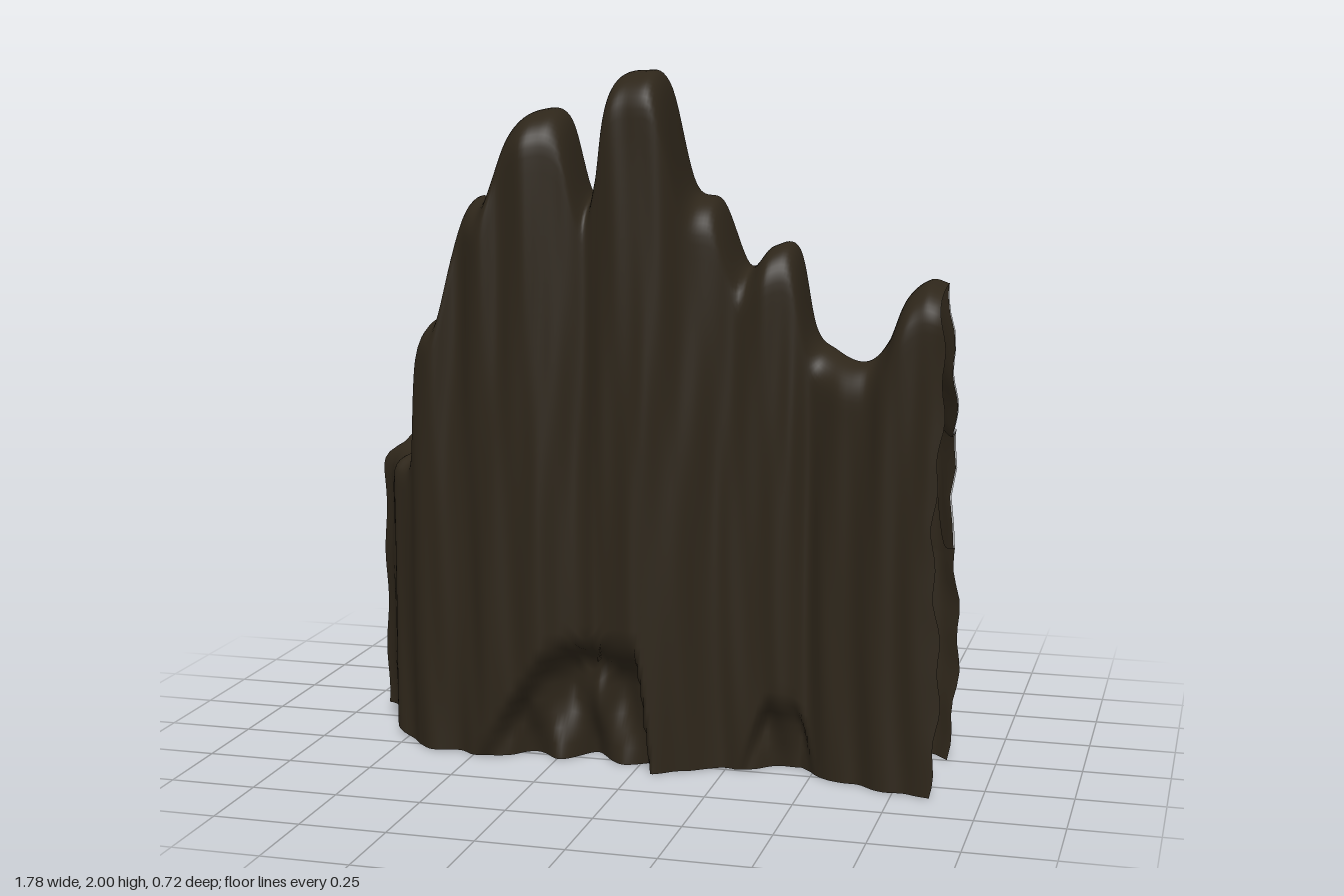
import * as THREE from 'three';

const { smoothstep, lerp } = THREE.MathUtils;

// Left wing columns: front x, front z, front top, ridge x, ridge z, ridge top, back x, back z
const wing = [
  [-0.885, -0.01, 0.9, -0.69, -0.21, 0.93, -0.56, -0.35],
  [-0.82, 0.07, 0.91, -0.65, -0.14, 0.83, -0.565, -0.26],
  [-0.79, 0.16, 0.92, -0.635, -0.08, 0.82, -0.565, -0.19],
  [-0.725, 0.21, 0.94, -0.63, -0.03, 0.92, -0.56, -0.14],
  [-0.685, 0.255, 1.27, -0.61, 0.01, 1.25, -0.55, -0.12],
  [-0.615, 0.29, 1.34, -0.57, 0.06, 1.34, -0.53, -0.12],
];
// Main wall columns: x, front z, top, ridge z, back z
const wall = [
  [-0.54, 0.28, 1.61, 0.1, -0.11], [-0.46, 0.33, 1.65, 0.15, -0.09],
  [-0.39, 0.33, 1.83, 0.17, -0.1], [-0.3, 0.355, 1.89, 0.18, -0.145],
  [-0.22, 0.33, 1.86, 0.18, -0.12], [-0.16, 0.31, 1.65, 0.17, -0.09],
  [-0.12, 0.325, 1.75, 0.17, -0.1], [-0.08, 0.34, 1.96, 0.19, -0.13],
  [0, 0.355, 2, 0.2, -0.165], [0.07, 0.34, 1.96, 0.18, -0.13],
  [0.13, 0.3, 1.68, 0.13, -0.09], [0.21, 0.25, 1.63, 0.11, -0.11],
  [0.28, 0.24, 1.45, 0.09, -0.08], [0.36, 0.255, 1.51, 0.13, -0.065],
  [0.43, 0.25, 1.5, 0.12, -0.08], [0.48, 0.225, 1.28, 0.11, -0.11],
  [0.54, 0.26, 1.22, 0.13, -0.11], [0.64, 0.29, 1.2, 0.2, -0.06],
  [0.7, 0.32, 1.26, 0.18, -0.05], [0.75, 0.33, 1.38, 0.17, -0.08],
  [0.81, 0.34, 1.43, 0.17, -0.1], [0.865, 0.345, 1.42, 0.16, -0.06],
];
const columns = [...wing, ...wall.map(([x, f, top, r, b]) => [x, f, top, x, r, top, x, b])];
const COUNT = 224;

const curve = (pick) => new THREE.CatmullRomCurve3(columns.map(pick), false, 'catmullrom', 0.5);
const frontCurve = curve((c) => new THREE.Vector3(c[0], c[2], c[1]));
const ridgeCurve = curve((c) => new THREE.Vector3(c[3], c[5], c[4]));
const backCurve = curve((c) => new THREE.Vector3(c[6], 0, c[7]));

// Hollows worn into the foot of the front face
function hollow(x, y) {
  const large = 0.36 * smoothstep(x, -0.55, -0.2) * (1 - smoothstep(x, 0.0, 0.06));
  const small = 0.22 * smoothstep(x, 0.26, 0.38) * (1 - smoothstep(x, 0.44, 0.53));
  const h = Math.max(large, small);
  if (h < 0.02) return 0;
  const depth = (large > small ? 0.12 : 0.08) * Math.min(1, h / 0.2);
  const boulders = 0.75 + 0.25 * Math.sin(x * 34) * Math.cos(y * 16);
  return depth * boulders * (1 - smoothstep(y, h - 0.07, h));
}

// How far the snow runs down the back slope, as a fraction of it
function snowReach(x, u) {
  const drips = 0.85 + 0.1 * Math.sin(x * 23 + 1) + 0.04 * Math.sin(x * 61);
  const pillar = smoothstep(x, -0.5, -0.43) * (1 - smoothstep(x, -0.3, -0.24));
  const reach = lerp(drips, 0.42 + 0.08 * Math.cos((x + 0.37) * 30), pillar);
  return lerp(reach, 0.98, smoothstep(u, 0.95, 1));
}

// Weathering: ragged open ends and fine vertical folds
function weather(p, u) {
  const left = 1 - smoothstep(u, 0, 0.03);
  const right = smoothstep(u, 0.95, 1);
  const y = p.y;
  p.x += left * 0.01 * (Math.sin(p.z * 90) + 0.4 * Math.sin(y * 21))
    + right * (0.012 * Math.sin(y * 7.5 - 0.8) + 0.006 * Math.sin(y * 31));
  p.z += 0.006 * Math.sin(p.x * 46 + 2 * Math.sin(y * 3)) + 0.001 * Math.sin(p.x * 95 + y * 4);
  return p;
}

// Height along the back slope: domed crest, steep drop, rounded shoulder, foot
function slopeProfile(top, u) {
  const end = smoothstep(u, 0.93, 1);
  const shoulder = Math.min(top - 0.04, 0.7 + 0.25 * top - 0.08 * end);
  const lower = Math.min(shoulder - 0.02, 0.85 + 0.08 * top);
  return new THREE.SplineCurve([
    new THREE.Vector2(0, top),
    new THREE.Vector2(0.15, lerp(top, shoulder, 0.2 + 0.3 * end)),
    new THREE.Vector2(0.38, lerp(top, shoulder, 0.66 + 0.12 * end)),
    new THREE.Vector2(0.62, shoulder),
    new THREE.Vector2(0.85, lower),
    new THREE.Vector2(1, 0.6),
  ]);
}

// One vertical section, split into front rock, snow and back rock
function section(u) {
  const f = frontCurve.getPoint(u), r = ridgeCurve.getPoint(u), b = backCurve.getPoint(u);
  const round = 0.13;
  const base = 0.04 * (1 - smoothstep(f.x, -0.85, -0.72));
  const front = [], snow = [], back = [];

  for (let j = 0; j < 40; j++) {
    const y = lerp(base, f.y - round, j / 40);
    front.push(new THREE.Vector3(f.x, y, f.z - hollow(f.x, y)));
  }
  for (let j = 0; j <= 12; j++) {
    const a = (j / 12) * Math.PI / 2, k = 1 - Math.cos(a);
    const y = lerp(f.y, r.y, k) - round + round * Math.pow(Math.sin(a), 0.8);
    front.push(new THREE.Vector3(lerp(f.x, r.x, k), y, lerp(f.z, r.z, k)));
  }

  const profile = slopeProfile(r.y, u);
  const slope = (s) => {
    const { x: t, y } = profile.getPoint(s);
    return new THREE.Vector3(lerp(r.x, b.x, t), y, lerp(r.z, b.z, t));
  };
  const reach = snowReach(b.x, u);
  for (let j = 0; j <= 24; j++) snow.push(slope(reach * j / 24));
  for (let j = 0; j <= 10; j++) back.push(slope(lerp(reach, 1, j / 10)));
  const foot = back[10].y;
  const tuck = 0.05 * smoothstep(u, 0.12, 0.22); // the main wall draws in at its base
  for (let j = 1; j <= 14; j++) {
    const v = j / 14;
    back.push(new THREE.Vector3(b.x, foot * (1 - v), b.z + tuck * v ** 3));
  }

  return [front, snow, back].map((part) => part.map((p) => weather(p, u)));
}

// Skin a row of sections into a smooth surface
function skin(rows) {
  const n = rows[0].length, index = [];
  for (let i = 0; i < rows.length - 1; i++) {
    for (let j = 0; j < n - 1; j++) {
      const a = i * n + j, b = a + n;
      index.push(a, b, b + 1, a, b + 1, a + 1);
    }
  }
  const geometry = new THREE.BufferGeometry().setFromPoints(rows.flat());
  geometry.setIndex(index);
  geometry.computeVertexNormals();
  return geometry;
}

// A copy of a surface, sunk below it along its normals
function sunk(geometry, depth) {
  const copy = geometry.clone();
  const p = copy.attributes.position, n = copy.attributes.normal;
  for (let i = 0; i < p.count; i++) {
    p.setXYZ(i, p.getX(i) - n.getX(i) * depth, p.getY(i) - n.getY(i) * depth, p.getZ(i) - n.getZ(i) * depth);
  }
  return copy;
}

export function createModel() {
  const rock = new THREE.MeshStandardMaterial({ color: 0x2e261a, side: THREE.DoubleSide });
  const ice = new THREE.MeshStandardMaterial({ color: 0xcccccc, side: THREE.DoubleSide });
  const sections = Array.from({ length: COUNT + 1 }, (_, i) => section(i / COUNT));
  const [frontSkin, slopeSkin, backSkin] = [0, 1, 2].map((k) => skin(sections.map((s) => s[k])));

  const group = new THREE.Group();
  group.name = 'snowyCliff';
  const add = (name, geometry, material) => {
    const mesh = new THREE.Mesh(geometry, material);
    mesh.name = name;
    group.add(mesh);
  };
  add('frontRock', frontSkin, rock);
  add('snowSlope', slopeSkin, ice);
  add('rockUnderSnow', sunk(slopeSkin, 0.008), rock);
  add('backRock', backSkin, rock);
  return group;
}
